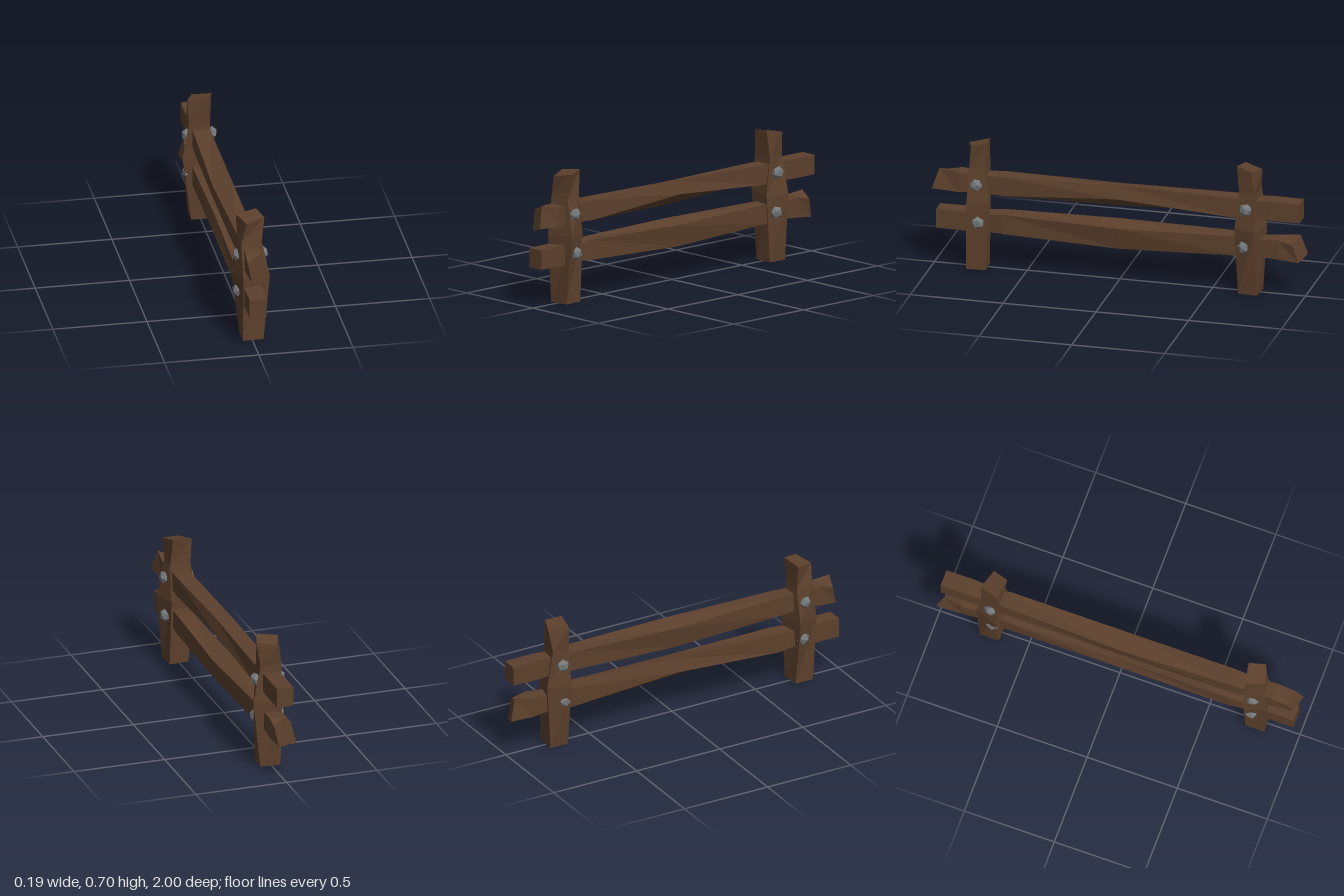
import * as THREE from 'three';

const wood = new THREE.MeshStandardMaterial({ color: 0x5c402c, flatShading: true });
const iron = new THREE.MeshStandardMaterial({ color: 0x74787a, flatShading: true });

// Closed beam through four-cornered sections, corners counter-clockwise seen from the last section
function loft(sections) {
  const pos = [];
  const quad = (a, b, c, d) => pos.push(...a, ...b, ...c, ...a, ...c, ...d);
  for (let s = 0; s < sections.length - 1; s++) {
    const low = sections[s], up = sections[s + 1];
    for (let i = 0; i < 4; i++) {
      const j = (i + 1) % 4;
      quad(low[i], low[j], up[j], up[i]);
    }
  }
  const first = sections[0], last = sections[sections.length - 1];
  quad(first[3], first[2], first[1], first[0]);
  quad(...last);
  const geo = new THREE.BufferGeometry();
  geo.setAttribute('position', new THREE.Float32BufferAttribute(pos, 3));
  geo.computeVertexNormals();
  return geo;
}

function add(parent, name, geo, mat) {
  const mesh = new THREE.Mesh(geo, mat);
  mesh.name = name;
  parent.add(mesh);
  return mesh;
}

// Post: bottom to top; swollen and twisted at the middle, waisted below a slanted top
const postSections = [
  [[-0.05, 0, 0.82], [0.06, 0, 0.815], [0.055, 0, 0.71], [-0.05, 0, 0.715]],
  [[-0.052, 0.36, 0.84], [0.095, 0.36, 0.805], [0.052, 0.36, 0.69], [-0.095, 0.36, 0.72]],
  [[-0.058, 0.565, 0.81], [0.053, 0.56, 0.8], [0.05, 0.56, 0.715], [-0.062, 0.56, 0.715]],
  [[-0.03, 0.675, 0.82], [0.07, 0.69, 0.785], [0.04, 0.705, 0.7], [-0.07, 0.69, 0.72]],
];

// Rail: back to front; corners bottom left, bottom right, top right, top left
const box = (z, k = 1) => [[-1, -1], [1, -1], [1, 1], [-1, 1]]
  .map(([x, y]) => [0.045 * k * x, 0.472 + 0.052 * k * y, z]);
const railSections = [
  box(-0.98),
  box(-0.82, 1.02),
  box(-0.7, 0.9),
  box(-0.62, 1.02),
  [[-0.04, 0.395, 0], [0.06, 0.465, 0], [0.042, 0.535, 0], [-0.06, 0.513, 0]],
  box(0.62, 1.02),
  box(0.76, 0.9),
  box(0.86, 1.02),
  [[-0.03, 0.403, 0.97], [0.055, 0.43, 1], [0.033, 0.54, 0.965], [-0.048, 0.508, 0.94]],
];

export function createModel() {
  const model = new THREE.Group();
  model.name = 'fence';

  // Posts, the back one mirrored
  add(model, 'frontPost', loft(postSections), wood);
  const mirrored = postSections.map(s => s.map(([x, y, z]) => [x, y, 0.06 - z]).reverse());
  add(model, 'backPost', loft(mirrored), wood);

  // Rails, the lower one turned end for end
  add(model, 'upperRail', loft(railSections), wood);
  const lower = add(model, 'lowerRail', loft(railSections), wood);
  lower.rotation.y = Math.PI;
  lower.position.y = -0.212;

  // Faceted bolt heads on both sides of each joint
  const boltGeo = new THREE.IcosahedronGeometry(0.036, 0);
  const joints = [[0.475, 0.76], [0.265, 0.75], [0.475, -0.695], [0.265, -0.685]];
  joints.forEach(([y, z], i) => {
    for (const side of [-1, 1]) {
      const bolt = add(model, side > 0 ? 'leftBolt' : 'rightBolt', boltGeo, iron);
      bolt.position.set(side * 0.068, y, z);
      bolt.scale.x = 0.75;
      bolt.rotation.x = i * 0.7 + side * 0.4;
    }
  });
  return model;
}
